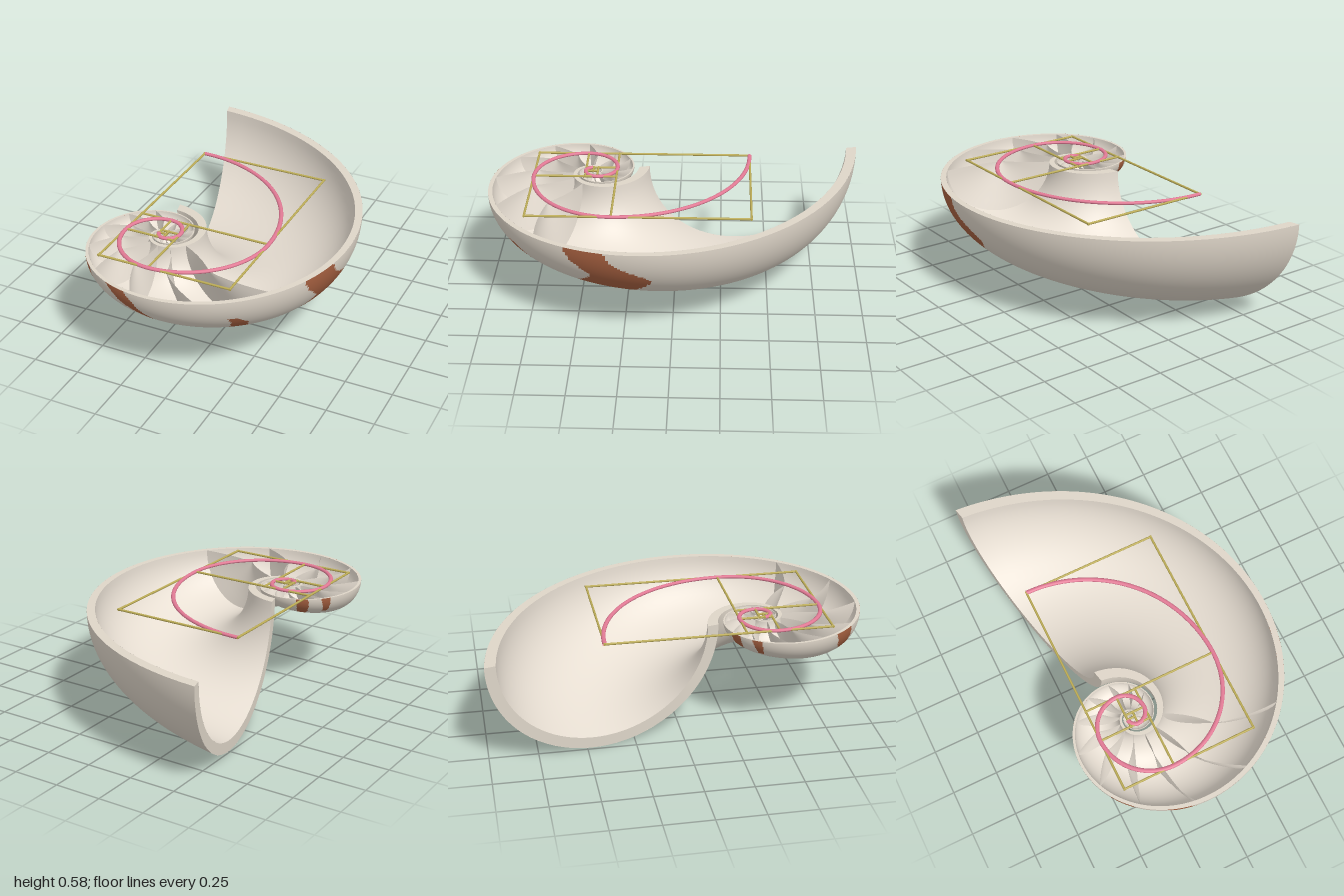
import * as THREE from 'three';

const PHI = (1 + Math.sqrt(5)) / 2;
const RAD = Math.PI / 180;
const POLE = { x: -0.278, z: 0.442 };   // centre of the spiral
const TOP = 0.5635;                     // height of the cut plane
const START = -13.2;                    // angle of the aperture, clockwise from the back
const END = START + 990;
// Half-ellipse section at the aperture
const CENTRE = 0.863, HALF = 0.618, DEPTH = 0.5635, WALL = 0.058;

const material = (name, color) =>
  new THREE.MeshStandardMaterial({ name, color, side: THREE.DoubleSide });

// The shell shrinks by the golden ratio every quarter turn
const scaleAt = (deg) => Math.pow(PHI, -(deg - START) / 90);

// deg: along the spiral, phi: 0 outer rim .. 180 inner rim, inset: wall depth, rho: 0 centre .. 1 wall
function shellPoint(deg, phi, inset, rho = 1) {
  const s = scaleAt(deg);
  const r = s * (CENTRE + rho * (HALF - inset) * Math.cos(phi * RAD));
  const h = s * rho * (DEPTH - inset) * Math.sin(phi * RAD);
  return [POLE.x + r * Math.sin(deg * RAD), TOP - h, POLE.z - r * Math.cos(deg * RAD)];
}

// Grid surface from a point rule; paint(u, v) picks the material of each cell
function surface(name, rule, [u0, u1, nu], [v0, v1, nv], mats, paint) {
  const pos = [];
  const cells = [[], []];
  for (let i = 0; i <= nu; i++)
    for (let j = 0; j <= nv; j++)
      pos.push(...rule(u0 + (u1 - u0) * i / nu, v0 + (v1 - v0) * j / nv));
  for (let i = 0; i < nu; i++)
    for (let j = 0; j < nv; j++) {
      const a = i * (nv + 1) + j, b = a + nv + 1;
      const u = u0 + (u1 - u0) * (i + 0.5) / nu, v = v0 + (v1 - v0) * (j + 0.5) / nv;
      cells[paint && paint(u, v) ? 1 : 0].push(a, a + 1, b, b, a + 1, b + 1);
    }
  const geo = new THREE.BufferGeometry();
  geo.setAttribute('position', new THREE.Float32BufferAttribute(pos, 3));
  geo.setIndex([...cells[0], ...cells[1]]);
  geo.computeVertexNormals();
  if (paint) {
    geo.addGroup(0, cells[0].length, 0);
    geo.addGroup(cells[0].length, cells[1].length, 1);
  }
  const mesh = new THREE.Mesh(geo, mats);
  mesh.name = name;
  return mesh;
}

// Stripes as [phi, centre angle, half width] keys
const STRIPES = [
  [[0, 90, 7], [10, 88, 7], [29, 77.5, 10], [52, 82, 11], [80, 84, 12], [98, 82, 7], [112, 79, 3.5], [124, 77, 1]],
  [[25, 124, 2], [35, 120, 3.5], [58, 117, 4.5], [80, 111, 6], [100, 106, 6], [118, 106, 2]],
  [[0, 179.5, 6.2], [20, 173, 5.5], [47, 160, 1.5]],
  [[0, 212.5, 8], [25, 209.5, 7], [50, 200, 6.5], [75, 189, 6], [95, 185, 2]],
  [[70, 236, 2], [90, 232, 6], [125, 230, 3]],
  [[0, 288, 5], [45, 284, 3]],
  [[0, 314, 7], [40, 312, 7], [80, 308, 5], [110, 306, 2]],
];

function isStriped(deg, phi) {
  return STRIPES.some((keys) => {
    for (let k = 0; k < keys.length - 1; k++) {
      const [p0, c0, w0] = keys[k], [p1, c1, w1] = keys[k + 1];
      if (phi < p0 || phi > p1) continue;
      const t = (phi - p0) / (p1 - p0);
      const soft = (t + t * t * (3 - 2 * t)) / 2;
      if (Math.abs(deg - c0 - (c1 - c0) * soft) < w0 + (w1 - w0) * soft) return true;
    }
    return false;
  });
}

function buildShell(cream, pearl, brown) {
  const shell = new THREE.Group();
  shell.name = 'shell';
  const split = START + 360;
  const outer = (d, p) => shellPoint(d, p, 0);
  const inner = (d, p) => shellPoint(d, p, WALL);
  shell.add(
    surface('outerWhorl', outer, [START, split, 400], [180, 0, 110], [cream, brown], isStriped),
    surface('innerWhorls', outer, [split, END, 160], [180, 0, 24], cream),
    surface('shellLining', inner, [START, END, 240], [0, 180, 36], pearl),
    surface('apertureLip', (p, t) => shellPoint(START, p, t), [0, 180, 48], [WALL, 0, 1], cream));
  // Flat cut edges of the wall
  shell.add(
    surface('outerRim', (d, t) => shellPoint(d, 0, t), [START, END, 300], [0, WALL, 1], cream),
    surface('innerRim', (d, t) => shellPoint(d, 180, t), [START, END, 300], [WALL, 0, 1], cream));
  return shell;
}

// Dished chamber walls, one every 30 degrees
function buildSepta(pearl) {
  const septa = new THREE.Group();
  septa.name = 'septa';
  for (let k = 0; k < 22; k++) {
    const base = 110 + 30 * k;
    const rule = (rho, phi) => shellPoint(base + 11 * (1 - rho), phi, WALL * 0.8, rho);
    septa.add(surface('septum', rule, [0.001, 1, 5], [0, 180, 20], pearl));
  }
  return septa;
}

// Nested golden rectangles and the quarter-arc spiral through their squares
function buildOverlay(gold, pink) {
  const overlay = new THREE.Group();
  overlay.name = 'goldenSpiralOverlay';
  const y = 0.571, radius = 0.006;
  const addBar = (x0, z0, x1, z1) => {
    const length = Math.hypot(x1 - x0, z1 - z0) + radius * 2;
    const mesh = new THREE.Mesh(new THREE.CylinderGeometry(radius, radius, length, 10), gold);
    if (z0 === z1) mesh.rotation.z = Math.PI / 2;
    else mesh.rotation.x = Math.PI / 2;
    mesh.position.set((x0 + x1) / 2, y, (z0 + z1) / 2);
    mesh.name = 'rectangleBar';
    overlay.add(mesh);
  };
  let side = 0.72;
  let l = -0.476, r = l + side, b = -0.4, f = b + side * PHI;
  addBar(l, b, r, b); addBar(l, f, r, f); addBar(l, b, l, f); addBar(r, b, r, f);

  const points = [];
  for (let k = 0; k < 7; k++) {
    let cx, cz;
    // Cut a square off the back, left-hand, front and right-hand end in turn
    if (k % 4 === 0) { b += side; cx = l; cz = b; addBar(l, b, r, b); }
    else if (k % 4 === 1) { r -= side; cx = r; cz = b; addBar(r, b, r, f); }
    else if (k % 4 === 2) { f -= side; cx = r; cz = f; addBar(l, f, r, f); }
    else { l += side; cx = l; cz = f; addBar(l, b, l, f); }
    for (let i = 0; i < 14; i++) {
      const a = (k + i / 14) * Math.PI / 2;
      points.push(new THREE.Vector3(cx + side * Math.sin(a), 0, cz - side * Math.cos(a)));
    }
    side /= PHI;
  }
  const curve = new THREE.CatmullRomCurve3(points);
  const spiral = new THREE.Mesh(new THREE.TubeGeometry(curve, 320, 0.0115, 10), pink);
  spiral.scale.y = 0.75;
  spiral.position.y = y;
  spiral.name = 'spiral';
  overlay.add(spiral);
  return overlay;
}

export function createModel() {
  const cream = material('shell cream', 0xded5c8);
  const pearl = material('lining pearl', 0xe9e0d4);
  const brown = material('stripe brown', 0xa66040);
  const gold = material('rectangle gold', 0xbcac56);
  const pink = material('spiral pink', 0xe27a95);
  const model = new THREE.Group();
  model.name = 'halvedSpiralShell';
  model.add(buildShell(cream, pearl, brown), buildSepta(pearl), buildOverlay(gold, pink));
  return model;
}
